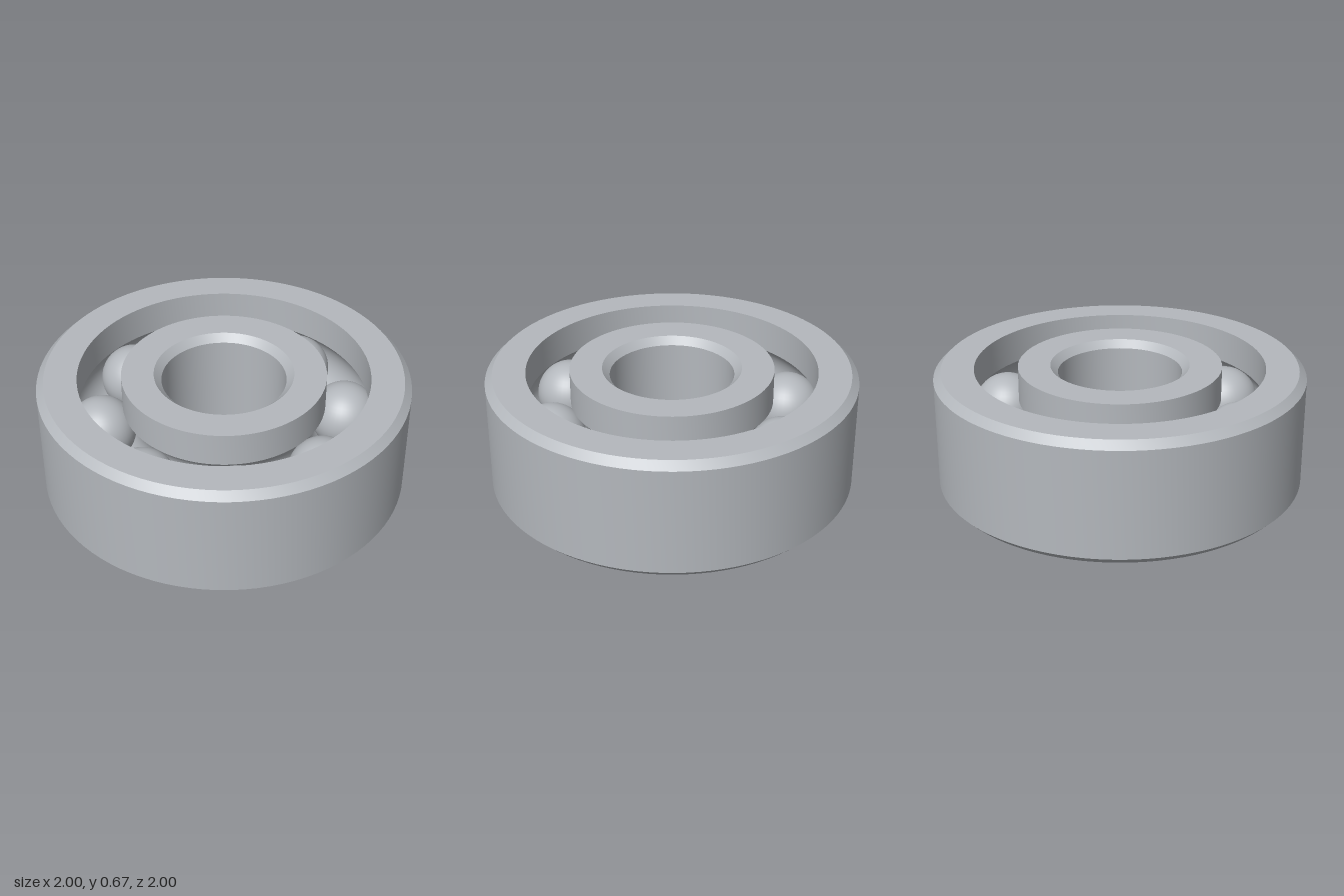
import * as THREE from 'three';
import { toCreasedNormals } from 'three/addons/utils/BufferGeometryUtils.js';

const HEIGHT = 0.667, MID = HEIGHT / 2, CHAMFER = 0.04;
const PITCH = 0.666, BALL = 0.185, GROOVE = 0.188, BALLS = 8;

// Arc of the ball groove, centred on the pitch circle
function grooveArc(from, to, steps = 14) {
  return Array.from({ length: steps + 1 }, (_, i) => {
    const a = from + (to - from) * i / steps;
    return [PITCH + GROOVE * Math.cos(a), MID + GROOVE * Math.sin(a)];
  });
}

// Closed anticlockwise profile turned about the y axis
function ring(name, profile, material) {
  const points = [...profile, profile[0]].map(([x, y]) => new THREE.Vector2(x, y));
  const mesh = new THREE.Mesh(toCreasedNormals(new THREE.LatheGeometry(points, 96), 0.5), material);
  mesh.name = name;
  return mesh;
}

export function createModel() {
  const group = new THREE.Group();
  group.name = 'ballBearing';
  const steel = new THREE.MeshStandardMaterial({ color: 0xb4b8bd });
  steel.name = 'steel';

  // Outer ring: chamfered outside, grooved inside
  const outerWall = 0.783;
  const a = Math.acos((outerWall - PITCH) / GROOVE);
  group.add(ring('outerRing', [
    [1 - CHAMFER, 0], [1, CHAMFER], [1, HEIGHT - CHAMFER], [1 - CHAMFER, HEIGHT],
    [outerWall, HEIGHT], ...grooveArc(a, -a), [outerWall, 0],
  ], steel));

  // Inner ring: grooved outside, chamfered bore
  const innerWall = 0.549, bore = 0.335;
  const b = Math.acos((PITCH - innerWall) / GROOVE);
  group.add(ring('innerRing', [
    [innerWall, 0], ...grooveArc(Math.PI + b, Math.PI - b), [innerWall, HEIGHT],
    [bore + CHAMFER, HEIGHT], [bore, HEIGHT - CHAMFER], [bore, CHAMFER], [bore + CHAMFER, 0],
  ], steel));

  // Balls spaced evenly round the groove
  const ballGeometry = new THREE.SphereGeometry(BALL, 40, 24);
  for (let i = 0; i < BALLS; i++) {
    const t = i / BALLS * Math.PI * 2;
    const ball = new THREE.Mesh(ballGeometry, steel);
    ball.name = `ball${i + 1}`;
    ball.position.set(PITCH * Math.cos(t), MID, PITCH * Math.sin(t));
    group.add(ball);
  }
  return group;
}
